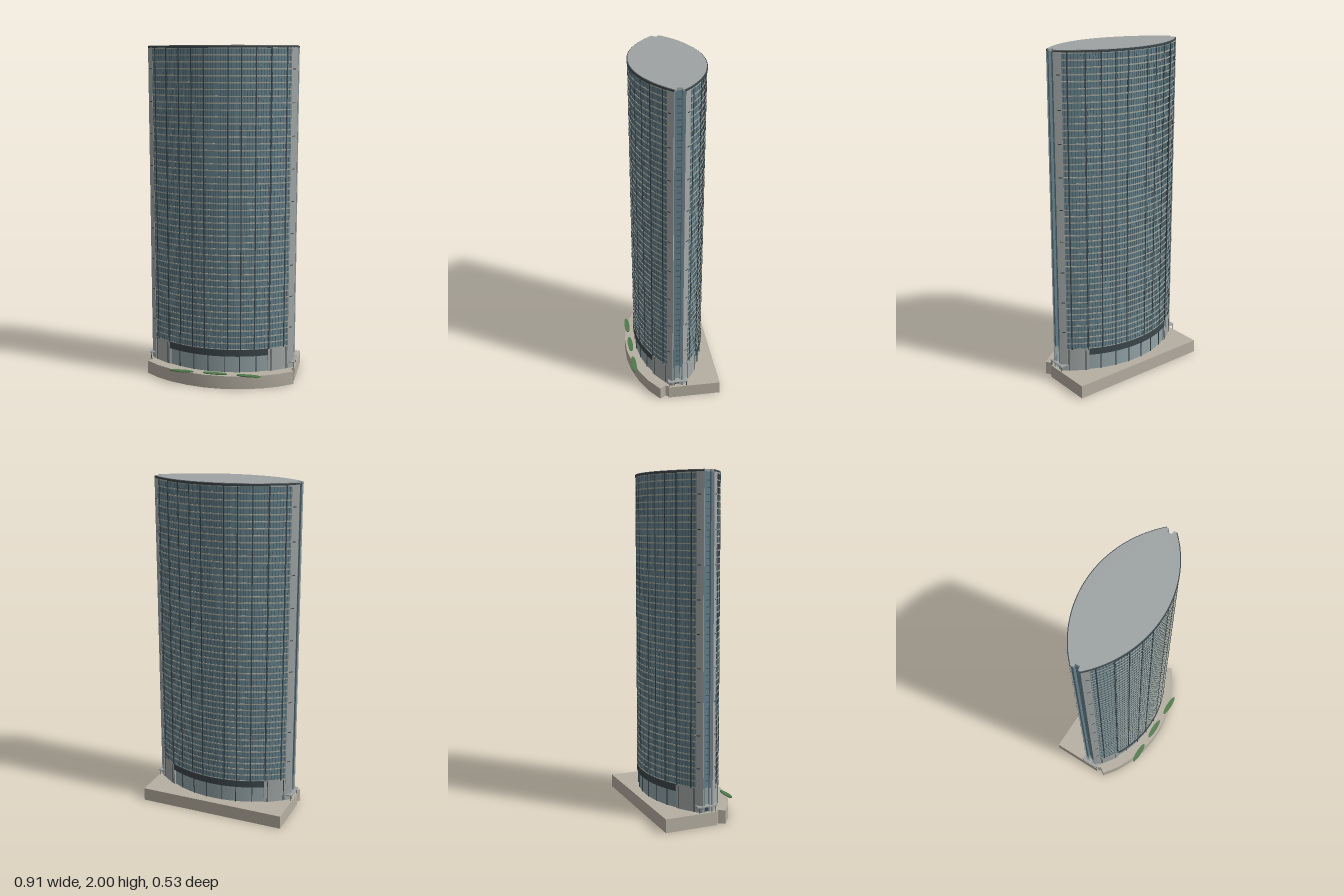
import * as THREE from 'three';
import { mergeGeometries, toCreasedNormals } from 'three/addons/utils/BufferGeometryUtils.js';

const R = 0.62, TIP = 0.44;             // facade arc radius, half width of the tower
const BASE = 0.08, LOBBY = 0.22, TOP = 2;
const APEX = { 1: 0.205, '-1': -0.215 }; // furthest z of the front and back facades

const paint = (color) => new THREE.MeshStandardMaterial({ color });
const mats = {
  glass: paint(0x66818c), darkGlass: paint(0x465a63), frame: paint(0x3c474c), line: paint(0xa3a69c),
  panel: paint(0xa4a9a8), lobby: paint(0x93a3a6), roof: paint(0x9ea3a4), stone: paint(0xb6afa2), green: paint(0x4f7a4a),
};

// Point on a facade arc, pushed out by off along its normal
function arcPoint(side, x, off = 0) {
  const a = Math.asin(x / R), c = APEX[side] - side * R;
  return [Math.sin(a) * (R + off), c + side * Math.cos(a) * (R + off)];
}
function arc(side, x0, x1, off, n) {
  return Array.from({ length: n + 1 }, (_, i) => arcPoint(side, x0 + (x1 - x0) * i / n, off));
}
// Plan outline of [x, z] points raised from y0 to y1
function prism(points, y0, y1) {
  const shape = new THREE.Shape(points.map(([x, z]) => new THREE.Vector2(x, -z)));
  const g = new THREE.ExtrudeGeometry(shape, { depth: y1 - y0, bevelEnabled: false });
  g.rotateX(-Math.PI / 2).translate(0, y0, 0);
  return toCreasedNormals(g, 0.4);
}
// Curved strip lying on a facade
function band(side, x0, x1, y0, y1, off, n, inner = -0.004) {
  return prism([...arc(side, x0, x1, off, n), ...arc(side, x1, x0, inner, n)], y0, y1);
}
// Lens-shaped plan with a notch at each tip
function lens(off) {
  const notch = (s) => [[TIP, 0.009], [0.42, 0.009], [0.42, -0.019], [TIP, -0.019]].map(([x, z]) => [s * x, z]);
  return [...arc(1, -TIP, TIP, off, 48), ...notch(1), ...arc(-1, TIP, -TIP, off, 48), ...notch(-1).reverse()];
}

export function createModel() {
  const group = new THREE.Group();
  const add = (name, geos, mat) => {
    const list = [].concat(geos);
    const mesh = new THREE.Mesh(list.length > 1 ? mergeGeometries(list) : list[0], mat);
    mesh.name = name;
    group.add(mesh);
  };
  const box = (w, h, d, x, y, z) => new THREE.BoxGeometry(w, h, d).translate(x, y, z);
  const sides = [1, -1];

  // Podium: rectangular at the back, faceted bow at the front
  const half = [[0.06, 0.264], [0.17, 0.245], [0.28, 0.21], [0.37, 0.165], [0.455, 0.103],
    [0.432, 0.068], [0.44, 0.05], [0.453, 0.05], [0.453, -0.267]];
  add('podium', prism([...half, ...half.map(([x, z]) => [-x, z]).reverse()], 0, BASE), mats.stone);

  // Planted beds
  add('plantingBeds', [-0.203, 0, 0.203].map((x) =>
    new THREE.CylinderGeometry(1, 1, 0.006, 40).scale(0.073, 1, 0.016).translate(x, BASE + 0.002, 0.235)), mats.green);

  // Tower body, lobby and roof
  add('lobby', prism(lens(-0.006), BASE, LOBBY), mats.lobby);
  add('tower', prism(lens(0), LOBBY, TOP - 0.012), mats.glass);
  add('roof', prism(lens(0.001), TOP - 0.012, TOP), mats.roof);

  const wings = [], endPanels = [], lines = [], mullions = [], ribs = [], canopies = [], trims = [], lobbyPanels = [], joints = [], vents = [];
  const floors = 46, step = (TOP - 0.02 - LOBBY) / floors;
  for (const s of sides) {
    // Dark edge round the roof and band over the lobby
    trims.push(band(s, -TIP, TIP, TOP - 0.016, TOP - 0.003, 0.006, 40));
    canopies.push(band(s, -0.3, 0.3, 0.182, LOBBY + 0.003, 0.006, 30, -0.01));

    // Floor lines
    for (let f = 0; f <= floors; f++) {
      const y = LOBBY + f * step;
      lines.push(band(s, -0.305, 0.305, y, y + 0.007, 0.003, 20));
      for (const m of sides) lines.push(band(s, m * 0.305, m * 0.408, y, y + 0.007, 0.0062, 5));
    }
    // Window mullions
    for (let i = -27; i <= 27; i++) {
      const x = i * 0.0148, off = Math.abs(x) > 0.305 ? 0.0055 : 0.002;
      mullions.push(band(s, x - 0.001, x + 0.001, LOBBY, TOP - 0.016, off, 1));
    }
    for (const x of [0.07, 0.145, 0.225, 0.305, 0.385]) {
      for (const m of sides) ribs.push(band(s, m * x - 0.003, m * x + 0.003, LOBBY, TOP - 0.01, x > 0.3 ? 0.007 : 0.0035, 1));
    }
    for (const m of sides) {
      // Raised outer wings and plain panels by the tips
      wings.push(band(s, m * 0.307, m * 0.41, LOBBY, TOP - 0.012, 0.0045, 8));
      endPanels.push(band(s, m * 0.408, m * TIP, BASE, TOP - 0.012, 0.006, 3));
      lobbyPanels.push(band(s, m * 0.3, m * 0.41, BASE, LOBBY, 0.003, 8, -0.008));
      // Joints in the end panels
      for (let f = 3; f < floors; f += 5) {
        const y = LOBBY + f * step;
        vents.push(band(s, m * 0.413, m * 0.428, y, y + 0.005, 0.0075, 1));
      }
      // Lobby columns
      for (const x of [0.05, 0.14, 0.235, 0.318, 0.4]) {
        joints.push(band(s, m * x - 0.002, m * x + 0.002, BASE, x > 0.3 ? LOBBY : 0.184, x > 0.3 ? 0.0045 : -0.001, 1, -0.01));
      }
    }
  }
  add('outerWings', wings, mats.glass);
  add('endPanels', endPanels, mats.panel);
  add('endPanelJoints', vents, mats.frame);
  add('floorLines', lines, mats.line);
  add('mullions', mullions, mats.darkGlass);
  add('verticalRibs', ribs, mats.frame);
  add('roofEdge', trims, mats.frame);
  add('lobbyBand', canopies, mats.frame);
  add('lobbyPanels', lobbyPanels, mats.panel);
  add('lobbyColumns', joints, mats.frame);

  // Recessed glass strip at each tip, with floor lines
  add('tipGlazing', sides.map((m) => box(0.004, TOP - LOBBY - 0.015, 0.027, m * 0.421, (TOP + LOBBY) / 2 - 0.008, -0.005)), mats.glass);
  const tipLines = [];
  for (const m of sides) {
    for (let f = 1; f < floors; f++) tipLines.push(box(0.003, 0.005, 0.026, m * 0.423, LOBBY + f * step, -0.005));
  }
  add('tipFloorLines', tipLines, mats.darkGlass);

  // Side entrances: thin canopy, door and posts
  add('sideCanopies', sides.map((m) => box(0.06, 0.006, 0.12, m * 0.425, 0.117, -0.008)), mats.roof);
  add('sideDoors', sides.map((m) => box(0.006, 0.034, 0.026, m * 0.422, 0.097, -0.005)), mats.frame);
  add('canopyPosts', sides.flatMap((m) => [-0.06, 0.044].map((z) =>
    new THREE.CylinderGeometry(0.0018, 0.0018, 0.036, 8).translate(m * 0.449, 0.097, z))), mats.frame);

  return group;
}
